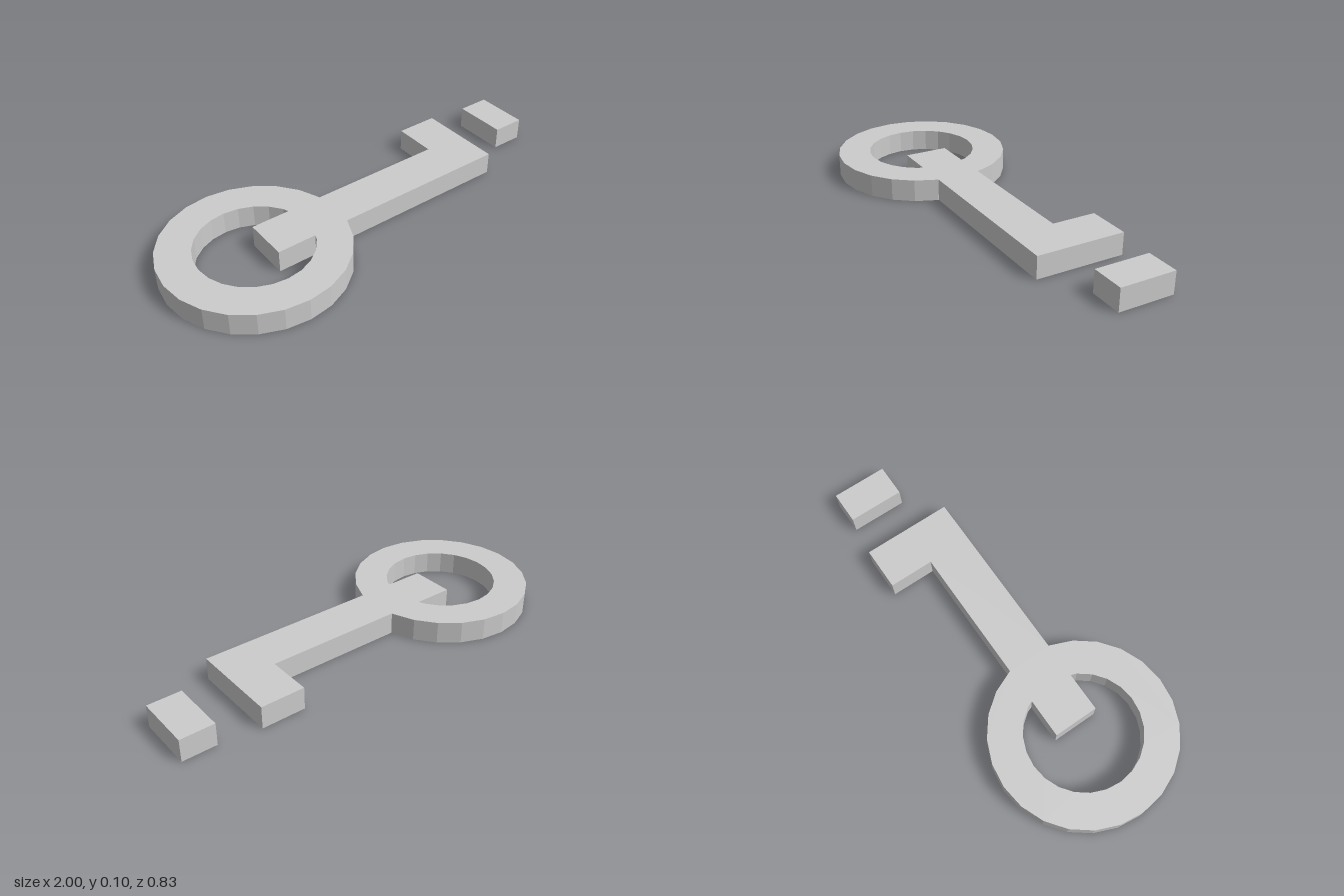
import * as THREE from 'three';

const HEIGHT = 0.104;
const HALF = 0.104; // half width of the shaft
const CENTRE = -0.586; // x of the ring's centre
const SIDES = 24;

// Points of the ring's polygon between two vertex numbers, counted anticlockwise
function arc(radius, from, to) {
  const points = [];
  for (let i = from; i <= to; i++) {
    const a = (i / SIDES) * Math.PI * 2;
    points.push(new THREE.Vector2(CENTRE + radius * Math.cos(a), radius * Math.sin(a)));
  }
  return points;
}

const corners = (list) => list.map(([x, y]) => new THREE.Vector2(x, y));

// Extrudes an outline drawn as seen from above and lays it flat on the ground
function plate(name, outline, hole) {
  const shape = new THREE.Shape(outline);
  if (hole) shape.holes.push(new THREE.Path(hole));
  const geometry = new THREE.ExtrudeGeometry(shape, { depth: HEIGHT, bevelEnabled: false });
  geometry.rotateX(-Math.PI / 2);
  const material = new THREE.MeshStandardMaterial({ color: 0xcccccc, flatShading: true });
  const mesh = new THREE.Mesh(geometry, material);
  mesh.name = name;
  return mesh;
}

export function createModel() {
  const model = new THREE.Group();
  model.name = 'key';

  // Ring, shaft and tooth share one outline; the shaft's end juts into the ring's hole
  const outline = [
    ...arc(0.414, 1, SIDES - 1),
    ...corners([[CENTRE + 0.4004, -HALF], [0.658, -HALF], [0.658, 0.312],
      [0.455, 0.312], [0.455, HALF], [CENTRE + 0.4004, HALF]]),
  ];
  const hole = [
    ...arc(0.26, 2, SIDES - 2),
    ...corners([[CENTRE + 0.235, -HALF], [-0.533, -HALF], [-0.533, HALF], [CENTRE + 0.235, HALF]]),
  ];
  model.add(plate('ringShaftAndTooth', outline, hole));

  // Separate block beyond the tooth
  model.add(plate('looseBlock', corners([[0.845, 0.028], [1, 0.028], [1, 0.287], [0.845, 0.287]])));

  return model;
}
